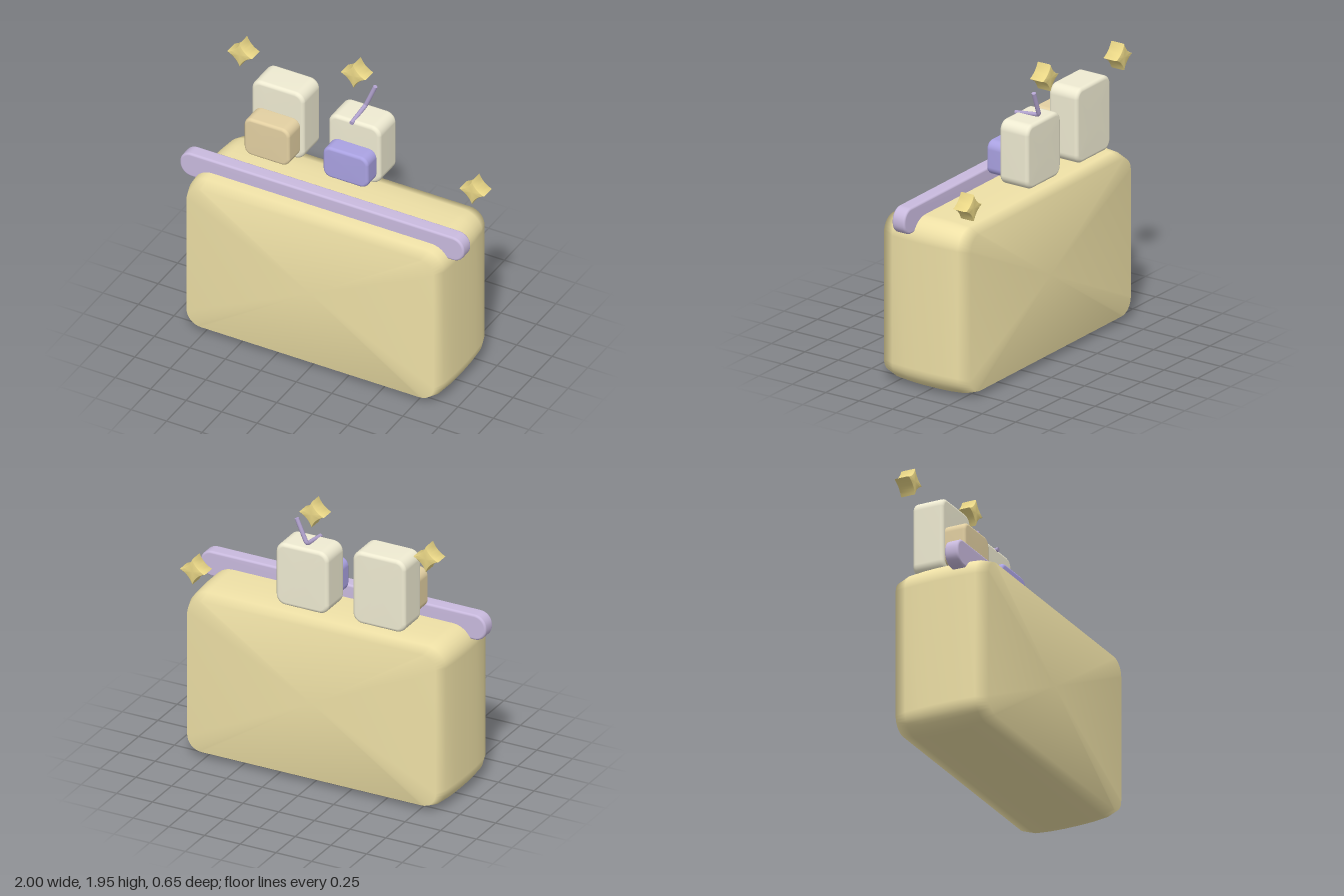
import * as THREE from 'three';
import { toCreasedNormals } from 'three/addons/utils/BufferGeometryUtils.js';

// Skin a row of outlines running from front to back and cap both ends.
// profile: [inset, z] per ring; outline(inset) gives counter-clockwise points.
function loft(profile, outline) {
  const pos = [], idx = [];
  const n = outline(0).length;
  for (const [inset, z] of profile) {
    for (const p of outline(inset)) pos.push(p.x, p.y, z);
  }
  for (let k = 0; k < profile.length - 1; k++) {
    for (let i = 0; i < n; i++) {
      const a = k * n + i, b = k * n + (i + 1) % n;
      idx.push(a, a + n, b, b, a + n, b + n);
    }
  }
  const last = (profile.length - 1) * n, front = profile.length * n, back = front + 1;
  pos.push(0, 0, profile[0][1], 0, 0, profile[profile.length - 1][1]);
  for (let i = 0; i < n; i++) {
    const j = (i + 1) % n;
    idx.push(front, i, j, back, last + j, last + i);
  }
  const geo = new THREE.BufferGeometry();
  geo.setAttribute('position', new THREE.Float32BufferAttribute(pos, 3));
  geo.setIndex(idx);
  geo.computeVertexNormals();
  return geo;
}

function roundedRect(w, h, r, steps = 8) {
  return (inset) => {
    const pts = [];
    for (let c = 0; c < 4; c++) {
      const cx = (c === 0 || c === 3 ? 1 : -1) * (w / 2 - r);
      const cy = (c < 2 ? 1 : -1) * (h / 2 - r);
      for (let i = 0; i <= steps; i++) {
        const a = (c + i / steps) * Math.PI / 2;
        pts.push(new THREE.Vector2(cx + (r - inset) * Math.cos(a), cy + (r - inset) * Math.sin(a)));
      }
    }
    return pts;
  };
}

function starOutline(radius) {
  return (inset) => {
    const pts = [], r = radius - inset;
    for (let c = 0; c < 4; c++) {
      const a = c * Math.PI / 2, b = a + Math.PI / 2, m = a + Math.PI / 4;
      const tip = new THREE.Vector2(Math.cos(a), Math.sin(a)).multiplyScalar(r);
      const next = new THREE.Vector2(Math.cos(b), Math.sin(b)).multiplyScalar(r);
      const mid = new THREE.Vector2(Math.cos(m), Math.sin(m)).multiplyScalar(0.42 * r);
      pts.push(...new THREE.QuadraticBezierCurve(tip, mid, next).getPoints(8).slice(0, 8));
    }
    return pts;
  };
}

// Symmetric front-to-back rings from the front half
const mirrored = (half) => [...half, ...half.slice().reverse().map(([i, z]) => [i, -z])];

function softEdges(depth, bevel) {
  const half = [];
  for (let i = 0; i <= 4; i++) {
    const a = i / 4 * Math.PI / 2;
    half.push([bevel * (1 - Math.sin(a)), depth / 2 - bevel * (1 - Math.cos(a))]);
  }
  return mirrored(half);
}

export function createModel() {
  const group = new THREE.Group();

  function add(name, geo, color, x = 0, y = 0, z = 0) {
    const mesh = new THREE.Mesh(geo, new THREE.MeshStandardMaterial({ color }));
    mesh.name = name;
    mesh.position.set(x, y, z);
    group.add(mesh);
  }

  // Soft block given by its extents
  function block(name, color, [x0, x1], [y0, y1], [z0, z1], r, bevel) {
    const geo = loft(softEdges(z1 - z0, bevel), roundedRect(x1 - x0, y1 - y0, r));
    add(name, geo, color, (x0 + x1) / 2, (y0 + y1) / 2, (z0 + z1) / 2);
  }

  // Counter body, slightly pillowed from front to back
  const bodyRings = mirrored([[0.04, 0.325], [0.012, 0.245], [0.003, 0.14], [0, 0.05]]);
  add('counterBody', loft(bodyRings, roundedRect(1.82, 1.12, 0.14)), 0xeee0a6, 0, 0.565, 0);

  // Counter rail
  block('counterRail', 0xc9bade, [-1, 1], [1.04, 1.213], [0.083, 0.178], 0.08, 0.015);

  // Jars with their front labels
  block('tallJar', 0xefebd2, [-0.655, -0.285], [1.195, 1.69], [-0.325, -0.11], 0.065, 0.025);
  block('tallJarPanel', 0xe3d0a2, [-0.63, -0.31], [1.227, 1.5], [-0.125, 0.032], 0.055, 0.02);
  block('shortJar', 0xefebd2, [-0.115, 0.253], [1.195, 1.62], [-0.325, -0.11], 0.065, 0.025);
  block('shortJarPanel', 0xaaa2e2, [-0.09, 0.228], [1.227, 1.452], [-0.125, 0.003], 0.055, 0.02);

  // Bent straw, capped at both ends
  const path = new THREE.CurvePath();
  const p = [[0.057, 1.61, -0.1], [0.057, 1.63, -0.255], [0.063, 1.645, -0.277], [0.125, 1.797, -0.283]]
    .map((v) => new THREE.Vector3(...v));
  path.add(new THREE.LineCurve3(p[0], p[1]));
  path.add(new THREE.QuadraticBezierCurve3(p[1], new THREE.Vector3(0.057, 1.633, -0.275), p[2]));
  path.add(new THREE.LineCurve3(p[2], p[3]));
  add('straw', new THREE.TubeGeometry(path, 40, 0.014, 12), 0xb3a4d0);
  [[p[0], p[1]], [p[3], p[2]]].forEach(([end, inner]) => {
    const cap = new THREE.CircleGeometry(0.014, 12);
    const dir = end.clone().sub(inner).normalize();
    cap.applyQuaternion(new THREE.Quaternion().setFromUnitVectors(new THREE.Vector3(0, 0, 1), dir));
    add('strawEnd', cap, 0xb3a4d0, end.x, end.y, end.z);
  });

  // Floating four-pointed sparkles
  const sparkle = toCreasedNormals(loft(softEdges(0.1, 0.008), starOutline(0.088)), 0.7);
  [[-0.8, 1.75], [0, 1.867], [0.835, 1.273]].forEach(([x, y], i) => {
    add('sparkle' + (i + 1), sparkle, 0xe9d686, x, y, -0.275);
  });

  return group;
}
